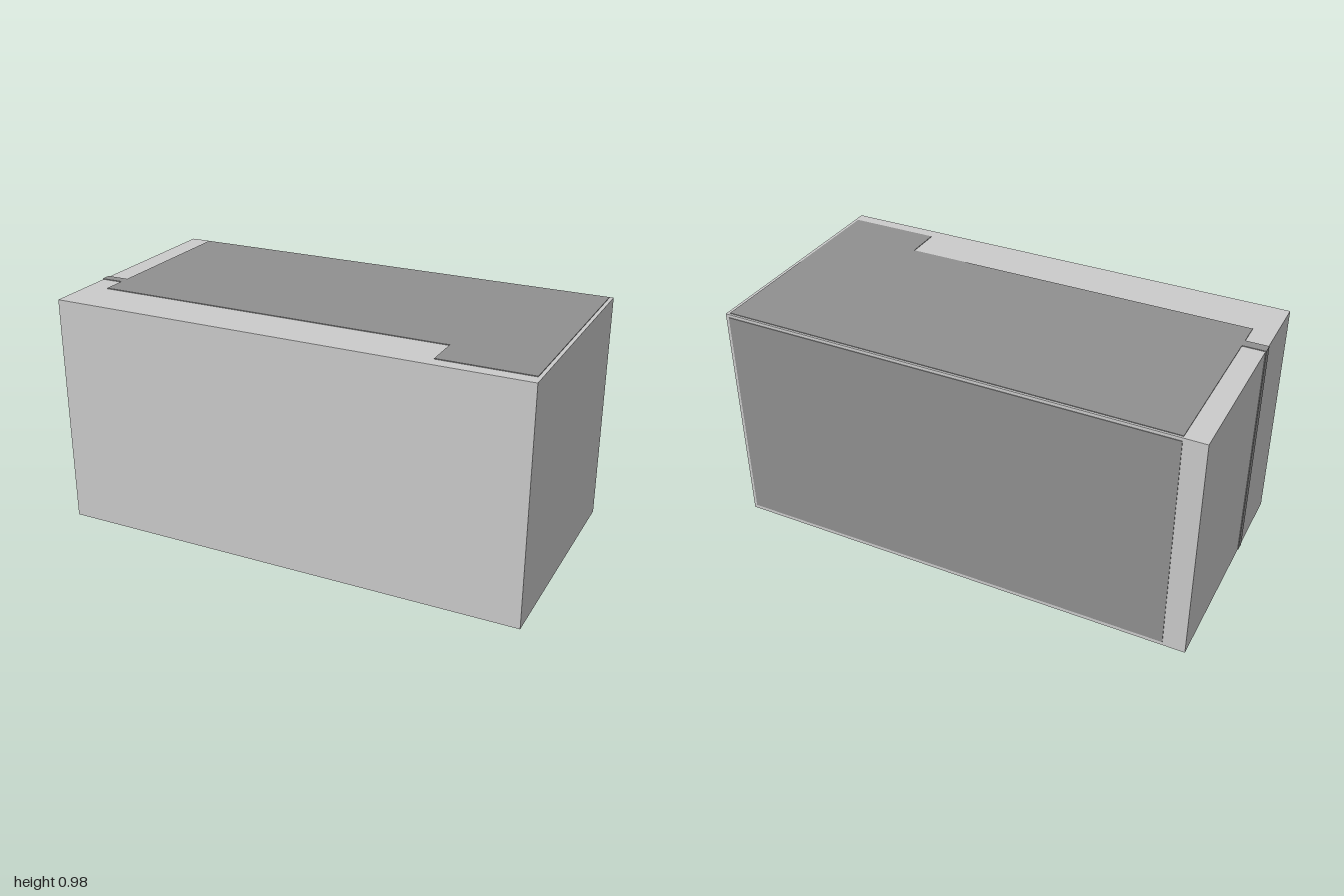
import * as THREE from 'three';

export function createModel() {
  const group = new THREE.Group();
  const light = new THREE.MeshStandardMaterial({ color: 0xcccccc });
  const dark = new THREE.MeshStandardMaterial({ color: 0x909090 });
  const T = 0.003; // thickness of the raised panels
  const H = 0.978; // body height
  const L = -0.997, R = 1, F = 0.506, B = -0.503; // body sides

  // Box between two corners
  function slab(name, material, x0, x1, y0, y1, z0, z1) {
    const mesh = new THREE.Mesh(new THREE.BoxGeometry(x1 - x0, y1 - y0, z1 - z0), material);
    mesh.position.set((x0 + x1) / 2, (y0 + y1) / 2, (z0 + z1) / 2);
    mesh.name = name;
    group.add(mesh);
  }

  slab('body', light, L, R, 0, H, B, F);

  // Top panel with its step at the front and a tongue to the right edge
  const outline = [
    [-0.905, -0.494], [0.985, -0.494], [0.985, 0.453], [0.605, 0.453], [0.605, 0.302],
    [-0.905, 0.302], [-0.905, 0.203], [L - T, 0.203], [L - T, 0.162], [-0.905, 0.162],
  ];
  const shape = new THREE.Shape(outline.map(([x, z]) => new THREE.Vector2(x, -z)));
  const top = new THREE.Mesh(
    new THREE.ExtrudeGeometry(shape, { depth: T, bevelEnabled: false }).rotateX(-Math.PI / 2),
    dark
  );
  top.position.y = H;
  top.name = 'topPanel';
  group.add(top);

  // Back panel and the upright strip on the right side
  slab('backPanel', dark, -0.905, 0.985, 0.018, 0.965, B - T, B);
  slab('sideStrip', dark, L - T, L, 0, H, 0.162, 0.203);

  return group;
}
